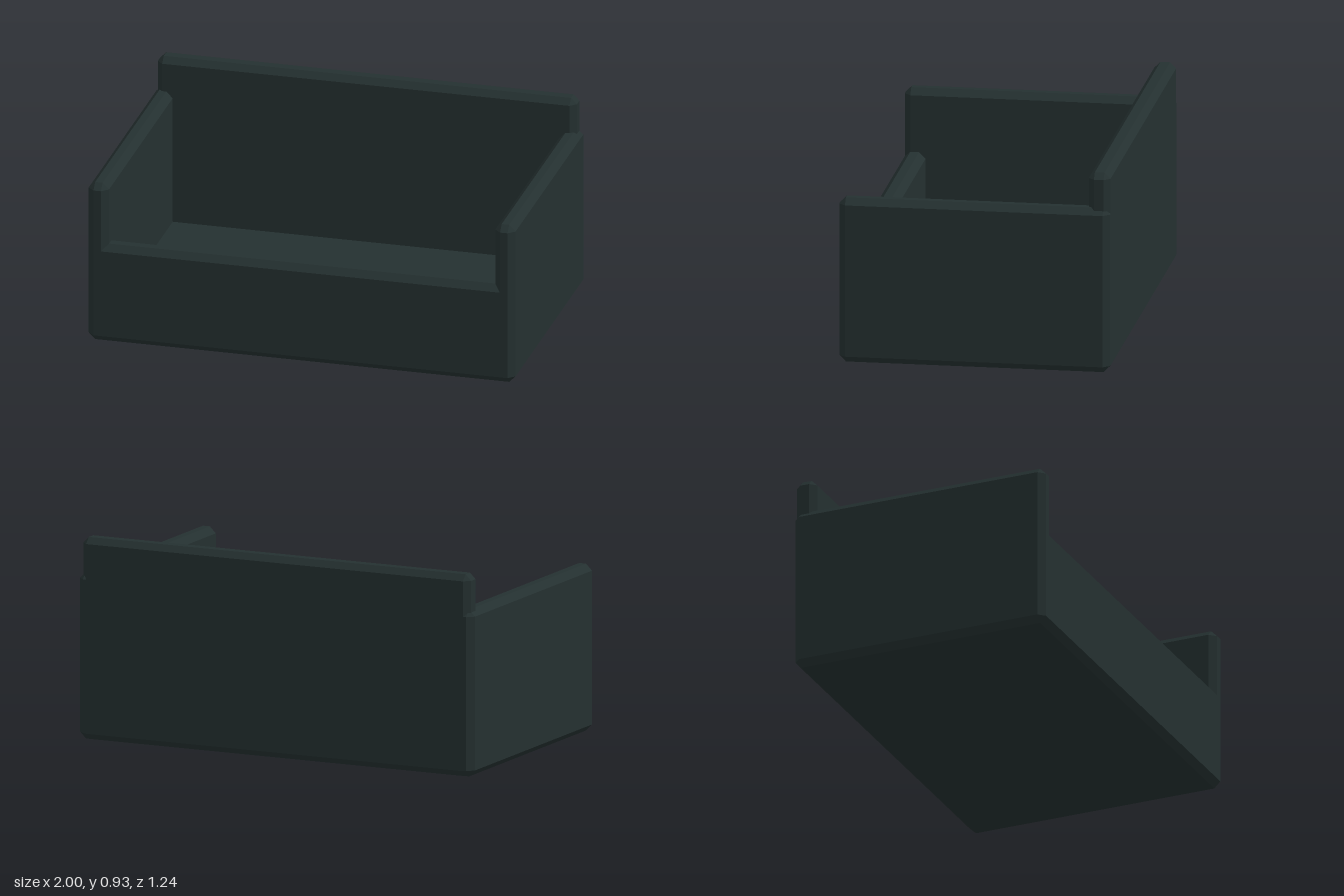
import * as THREE from 'three';
import { ConvexGeometry } from 'three/addons/geometries/ConvexGeometry.js';

// Box with 45-degree chamfers on every edge, given its min and max corners
function chamferBox(min, max, c) {
  const center = min.map((v, i) => (v + max[i]) / 2);
  const half = max.map((v, i) => (v - min[i]) / 2);
  const points = [];
  for (const sx of [-1, 1]) for (const sy of [-1, 1]) for (const sz of [-1, 1]) {
    const s = [sx, sy, sz];
    // Three points per corner, one on each adjoining face
    for (let axis = 0; axis < 3; axis++) {
      const p = s.map((sign, i) => center[i] + sign * (half[i] - (i === axis ? 0 : c)));
      points.push(new THREE.Vector3(...p));
    }
  }
  return new ConvexGeometry(points);
}

export function createModel() {
  const group = new THREE.Group();
  group.name = 'openTray';
  const material = new THREE.MeshStandardMaterial({ color: 0x243030, flatShading: true });
  material.name = 'darkSlate';

  const W = 1, D = 0.62, T = 0.1; // half width, half depth, wall thickness
  const add = (name, min, max, c = 0.03) => {
    const mesh = new THREE.Mesh(chamferBox(min, max, c), material);
    mesh.name = name;
    group.add(mesh);
  };

  // Floor slab
  add('floor', [-W, 0, -D], [W, 0.135, D]);
  // Side walls
  add('leftWall', [W - 0.095, 0, -D], [W, 0.77, D]);
  add('rightWall', [-W, 0, -D], [-W + 0.095, 0.77, D]);
  // Low front wall
  add('frontWall', [-W, 0, D - T], [W, 0.475, D]);
  // Tall back wall, slightly narrower than the body
  add('backWall', [-0.982, 0, -D], [0.982, 0.932, -D + T], 0.028);

  return group;
}
